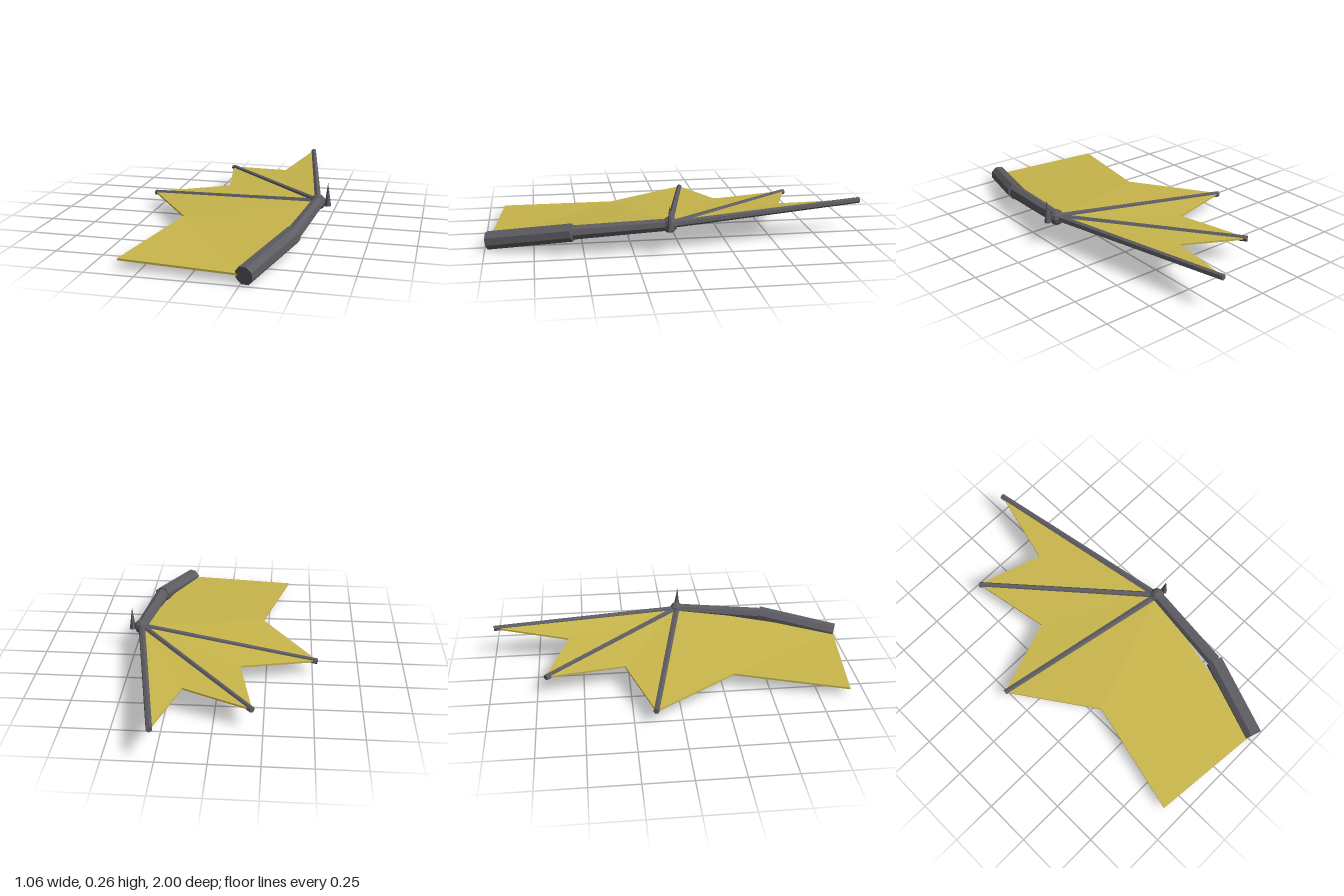
import * as THREE from 'three';

const v = (x, y, z) => new THREE.Vector3(x, y, z);

// Faceted tapered rod running from point a to point b
function rod(name, a, b, ra, rb, sides, material) {
  const dir = b.clone().sub(a);
  const mesh = new THREE.Mesh(new THREE.CylinderGeometry(rb, ra, dir.length(), sides), material);
  mesh.position.copy(a).add(b).multiplyScalar(0.5);
  mesh.quaternion.setFromUnitVectors(v(0, 1, 0), dir.normalize());
  mesh.name = name;
  return mesh;
}

// Closed thin sheet: triangles on both faces plus a rim along the outline
function sheet(points, triangles, thickness) {
  const pos = [], index = [], n = points.length;
  for (const h of [thickness / 2, -thickness / 2])
    for (const p of points) pos.push(p.x, p.y + h, p.z);
  for (const [a, b, c] of triangles) index.push(a, b, c, a + n, c + n, b + n);
  for (let i = 0; i < n; i++) {
    const j = (i + 1) % n;
    index.push(i, i + n, j, j, i + n, j + n);
  }
  const g = new THREE.BufferGeometry();
  g.setAttribute('position', new THREE.Float32BufferAttribute(pos, 3));
  g.setIndex(index);
  const flat = g.toNonIndexed();
  flat.computeVertexNormals();
  return flat;
}

export function createModel() {
  const bone = new THREE.MeshStandardMaterial({ color: 0x5c5c62, flatShading: true });
  bone.name = 'dark grey bone';
  const skin = new THREE.MeshStandardMaterial({ color: 0xc9b64c, flatShading: true });
  skin.name = 'yellow membrane';

  const wing = new THREE.Group();
  wing.name = 'wing';

  const shoulder = v(0.268, 0.055, 0.983);
  const elbow = v(0.41, 0.122, 0.555);
  const wrist = v(0.46, 0.157, 0.068);
  const tips = [v(0.265, 0.188, -0.995), v(-0.195, 0.124, -0.7), v(-0.525, 0.089, -0.14)];

  // Arm bones and wrist joint
  wing.add(rod('upperArm', shoulder, elbow, 0.048, 0.047, 8, bone));
  wing.add(rod('forearm', elbow, wrist, 0.039, 0.033, 8, bone));
  const joint = new THREE.Mesh(new THREE.SphereGeometry(0.042, 8, 6), bone);
  joint.position.copy(wrist);
  joint.name = 'wristJoint';
  wing.add(joint);

  // Finger bones fanning out from the wrist
  tips.forEach((tip, i) => wing.add(rod('finger' + (i + 1), wrist, tip, 0.019, 0.016, 6, bone)));

  // Thumb claw
  wing.add(rod('thumbClaw', v(0.512, 0.14, 0.073), v(0.512, 0.268, 0.078), 0.019, 0, 6, bone));

  // Membrane outline, counter-clockwise from above, with notches between the fingers
  const outline = [
    wrist, tips[0], v(0.16, 0.152, -0.575), tips[1], v(-0.115, 0.116, -0.275), tips[2],
    v(-0.22, 0.095, 0.305), v(-0.362, 0.055, 0.912), v(0.265, 0.055, 0.975),
  ];
  const triangles = [[0, 1, 2], [0, 2, 3], [0, 3, 4], [0, 4, 5], [0, 5, 6], [0, 6, 8], [6, 7, 8]];
  const membrane = new THREE.Mesh(sheet(outline, triangles, 0.01), skin);
  membrane.name = 'membrane';
  wing.add(membrane);

  return wing;
}
